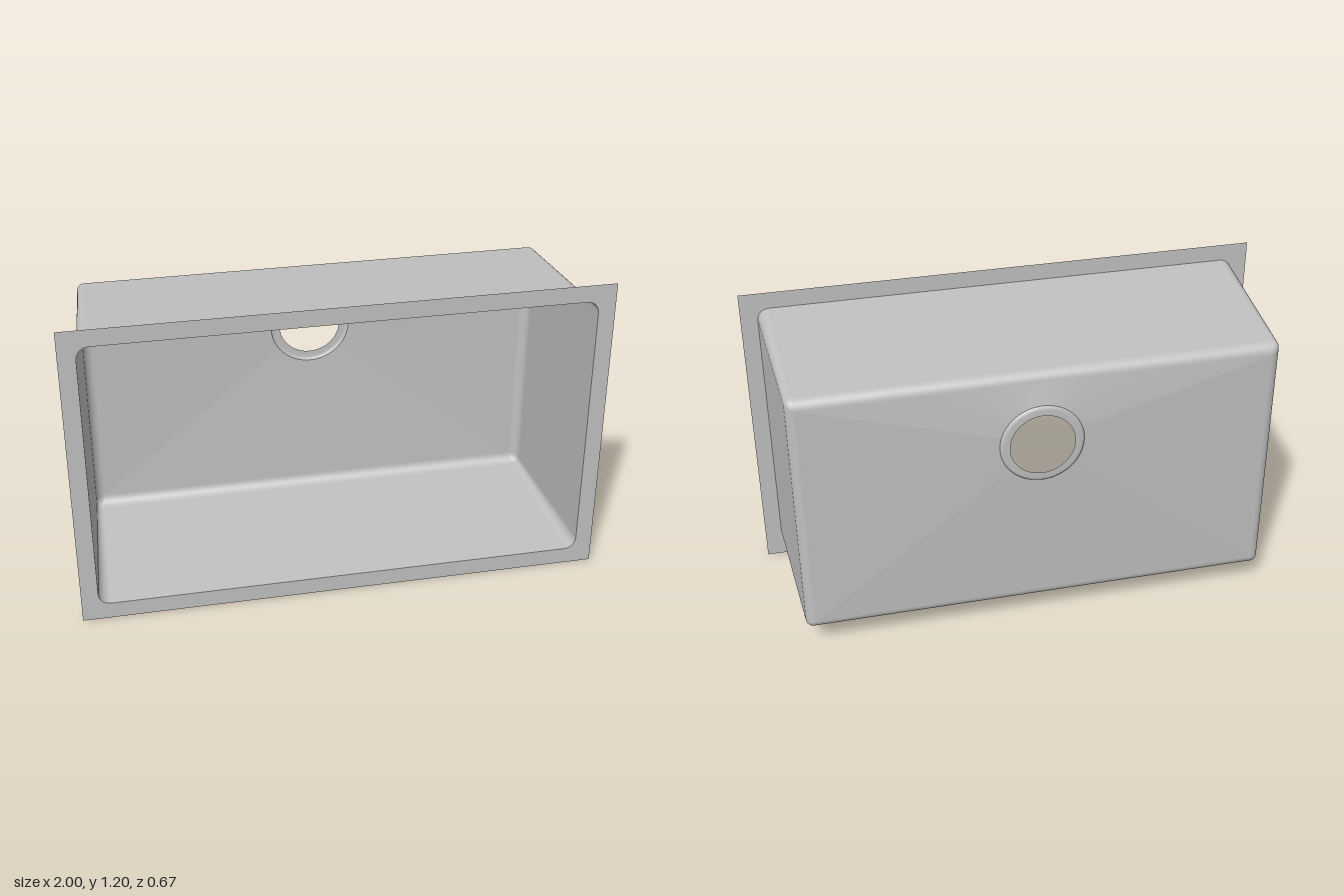
import * as THREE from 'three';

const RIM_Z = 0.337, MID_Y = 0.6, HALF_W = 0.936, HALF_H = 0.535;
const CORNER_R = 0.045, FILLET_R = 0.04, TAPER = 0.035, FILLET_Z = -0.268;
const DRAIN_Y = 0.82, ARC_STEPS = 6, SIDE_STEPS = 18;

// The four corner arcs of the basin outline, inset from the opening
function cornerArcs(inset) {
  const r = Math.max(CORNER_R - inset * 0.55, 0.003);
  const w = HALF_W - inset - r, h = HALF_H - inset - r;
  return [[1, 1], [-1, 1], [-1, -1], [1, -1]].map(([sx, sy], k) => {
    const arc = [];
    for (let i = 0; i <= ARC_STEPS; i++) {
      const a = (k + i / ARC_STEPS) * Math.PI / 2;
      arc.push(new THREE.Vector2(sx * w + r * Math.cos(a), MID_Y + sy * h + r * Math.sin(a)));
    }
    return arc;
  });
}

// Divide each straight side at equal angles as seen from the drain
function sideFractions(arcs) {
  const drain = new THREE.Vector2(0, DRAIN_Y);
  return arcs.map((arc, k) => {
    const a = arc[ARC_STEPS].clone().sub(drain);
    const b = arcs[(k + 1) % 4][0].clone().sub(drain);
    const from = a.angle();
    let to = b.angle();
    if (to < from) to += Math.PI * 2;
    const ab = b.clone().sub(a), list = [];
    for (let j = 1; j < SIDE_STEPS; j++) {
      const phi = from + (to - from) * j / SIDE_STEPS;
      const d = new THREE.Vector2(Math.cos(phi), Math.sin(phi));
      list.push(-a.cross(d) / ab.cross(d));
    }
    return list;
  });
}

// One closed outline of the basin at a given depth
function basinLoop(inset, z, fractions) {
  const arcs = cornerArcs(inset), loop = [];
  arcs.forEach((arc, k) => {
    const next = arcs[(k + 1) % 4][0];
    arc.forEach(p => loop.push(new THREE.Vector3(p.x, p.y, z)));
    fractions[k].forEach(t => {
      const p = arc[ARC_STEPS].clone().lerp(next, t);
      loop.push(new THREE.Vector3(p.x, p.y, z));
    });
  });
  return loop;
}

// Circle around the drain whose points line up with the floor outline
function drainLoop(radius, z, floor) {
  return floor.map(p => {
    const a = Math.atan2(p.y - DRAIN_Y, p.x);
    return new THREE.Vector3(radius * Math.cos(a), DRAIN_Y + radius * Math.sin(a), z);
  });
}

// Skin a row of loops, outer to inner
function skin(loops) {
  const n = loops[0].length, index = [];
  for (let l = 0; l < loops.length - 1; l++) {
    for (let i = 0; i < n; i++) {
      const a = l * n + i, b = l * n + (i + 1) % n;
      index.push(a, b, a + n, b, b + n, a + n);
    }
  }
  const geometry = new THREE.BufferGeometry().setFromPoints(loops.flat());
  geometry.setIndex(index);
  geometry.computeVertexNormals();
  return geometry;
}

export function createModel() {
  const steel = new THREE.MeshStandardMaterial({ color: 0xc0c0c0, side: THREE.DoubleSide });
  steel.name = 'steel';
  const group = new THREE.Group();
  group.name = 'sink';
  const add = (name, geometry) => {
    const mesh = new THREE.Mesh(geometry, steel);
    mesh.name = name;
    group.add(mesh);
  };

  const floorInset = TAPER + FILLET_R;
  const fractions = sideFractions(cornerArcs(floorInset));

  // Flat mounting flange around the opening
  const flange = new THREE.Shape([[-1, 0], [1, 0], [1, 1.2], [-1, 1.2]].map(p => new THREE.Vector2(...p)));
  const opening = basinLoop(0, 0, fractions).map(p => new THREE.Vector2(p.x, p.y));
  flange.holes.push(new THREE.Path(opening));
  add('flange', new THREE.ShapeGeometry(flange).translate(0, 0, RIM_Z));

  // Tapered walls, rounded bottom edge and floor sloping to the drain
  const loops = [basinLoop(0, RIM_Z, fractions)];
  for (let i = 0; i <= 8; i++) {
    const a = i / 8 * Math.PI / 2;
    loops.push(basinLoop(TAPER + FILLET_R * (1 - Math.cos(a)), FILLET_Z - FILLET_R * Math.sin(a), fractions));
  }
  const floor = loops[loops.length - 1];
  loops.push(drainLoop(0.157, -0.327, floor));
  add('basin', skin(loops));

  // Recessed drain ring with an open hole
  const ring = [[0.157, -0.327], [0.155, -0.332], [0.15, -0.3355], [0.143, -0.337], [0.121, -0.337]];
  add('drainRing', skin(ring.map(([r, z]) => drainLoop(r, z, floor))));

  return group;
}
